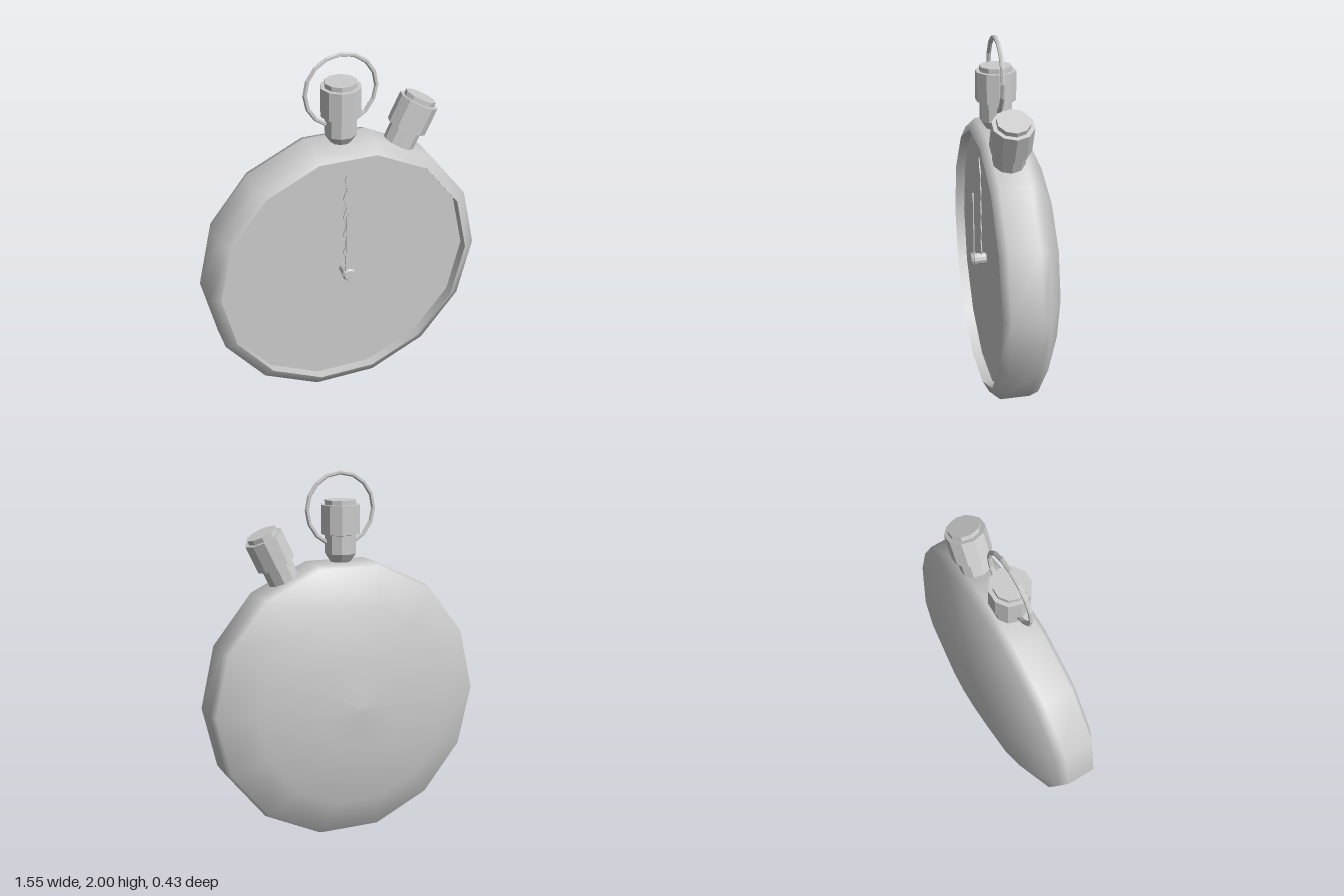
import * as THREE from 'three';

const CENTER_Y = 0.76; // middle of the dial
const STEM_Z = 0.07;   // depth of the crown, button and ring

const smooth = new THREE.MeshStandardMaterial({ color: 0xcccccc });
const faceted = new THREE.MeshStandardMaterial({ color: 0xcccccc, flatShading: true });

function mesh(name, geometry, material) {
  const m = new THREE.Mesh(geometry, material);
  m.name = name;
  return m;
}

// Lathe around y with a corner on the x axis; points are [radius, height]
function turned(points, sides) {
  const profile = points.map(([r, h]) => new THREE.Vector2(r, h));
  return new THREE.LatheGeometry(profile, sides, Math.PI / 2);
}

// Same, with the axis turned to face the front
function turnedForward(points, sides) {
  return turned(points, sides).rotateX(Math.PI / 2);
}

// Knob on a neck, heights measured from the dial centre
function knob(name, lift, tilt) {
  const g = turned([
    [0, 0.74], [0.055, 0.755], [0.085, 0.8], [0.085, 0.9], [0.107, 0.905],
    [0.107, 1.06], [0.085, 1.06], [0.085, 1.085], [0, 1.085],
  ], 10);
  g.translate(0, lift, 0).rotateZ(-tilt);
  const m = mesh(name, g, faceted);
  m.position.set(0, CENTER_Y, STEM_Z);
  return m;
}

// Thin plate cut from an outline given around the dial centre
function hand(name, outline, z) {
  const shape = new THREE.Shape(outline.map(([x, y]) => new THREE.Vector2(x, y)));
  const g = new THREE.ExtrudeGeometry(shape, { depth: 0.006, bevelEnabled: false });
  const m = mesh(name, g, faceted);
  m.position.set(0, CENTER_Y, z);
  return m;
}

// Flame-shaped outline: both edges sway together and close at the tip
function wavyOutline() {
  const right = [], left = [];
  const steps = 40, length = 0.55;
  for (let i = 0; i <= steps; i++) {
    const t = i / steps;
    const sway = 0.012 * Math.min(1, (1 - t) * 4);
    const cx = sway + 0.007 * Math.sin(t * Math.PI * 10);
    const half = 0.022 * Math.min(1, (1 - t) * 5);
    right.push([cx + half, 0.04 + length * t]);
    if (i < steps) left.unshift([cx - half, 0.04 + length * t]);
  }
  return [...right, ...left];
}

export function createModel() {
  const model = new THREE.Group();
  model.name = 'stopwatch';

  // Case: domed back, straight side, bevelled front edge
  model.add(mesh('case', turnedForward([
    [0, -0.215], [0.26, -0.197], [0.56, -0.15], [0.757, -0.06],
    [0.775, -0.01], [0.775, 0.15], [0.712, 0.185],
  ], 14), smooth));

  // Recessed dial and the wall around it
  model.add(mesh('rimWall', turnedForward([[0.712, 0.185], [0.712, 0.13]], 14), smooth));
  model.add(mesh('dial', turnedForward([[0.712, 0.13], [0, 0.13]], 14), smooth));
  for (const part of model.children) part.position.y = CENTER_Y;

  // Hands and centre pin
  model.add(hand('wavyHand', wavyOutline(), 0.157));
  model.add(hand('straightHand', [
    [-0.02, 0], [0.02, 0], [0.014, 0.37], [0, 0.39], [-0.014, 0.37],
  ], 0.195));
  const pin = mesh('centrePin', turnedForward([
    [0.03, 0.13], [0.03, 0.185], [0.037, 0.187], [0.037, 0.198],
    [0.03, 0.2], [0.037, 0.204], [0.03, 0.214], [0, 0.214],
  ], 10), faceted);
  pin.position.y = CENTER_Y;
  model.add(pin);

  // Winding crown on top, push button square to the next facet of the case
  model.add(knob('crown', 0, 0));
  model.add(knob('pushButton', -0.055, Math.PI / 7));

  // Hanging ring
  const ring = mesh('hangingRing', new THREE.TorusGeometry(0.192, 0.012, 6, 16), faceted);
  ring.position.set(0, 1.796, STEM_Z);
  model.add(ring);

  return model;
}
